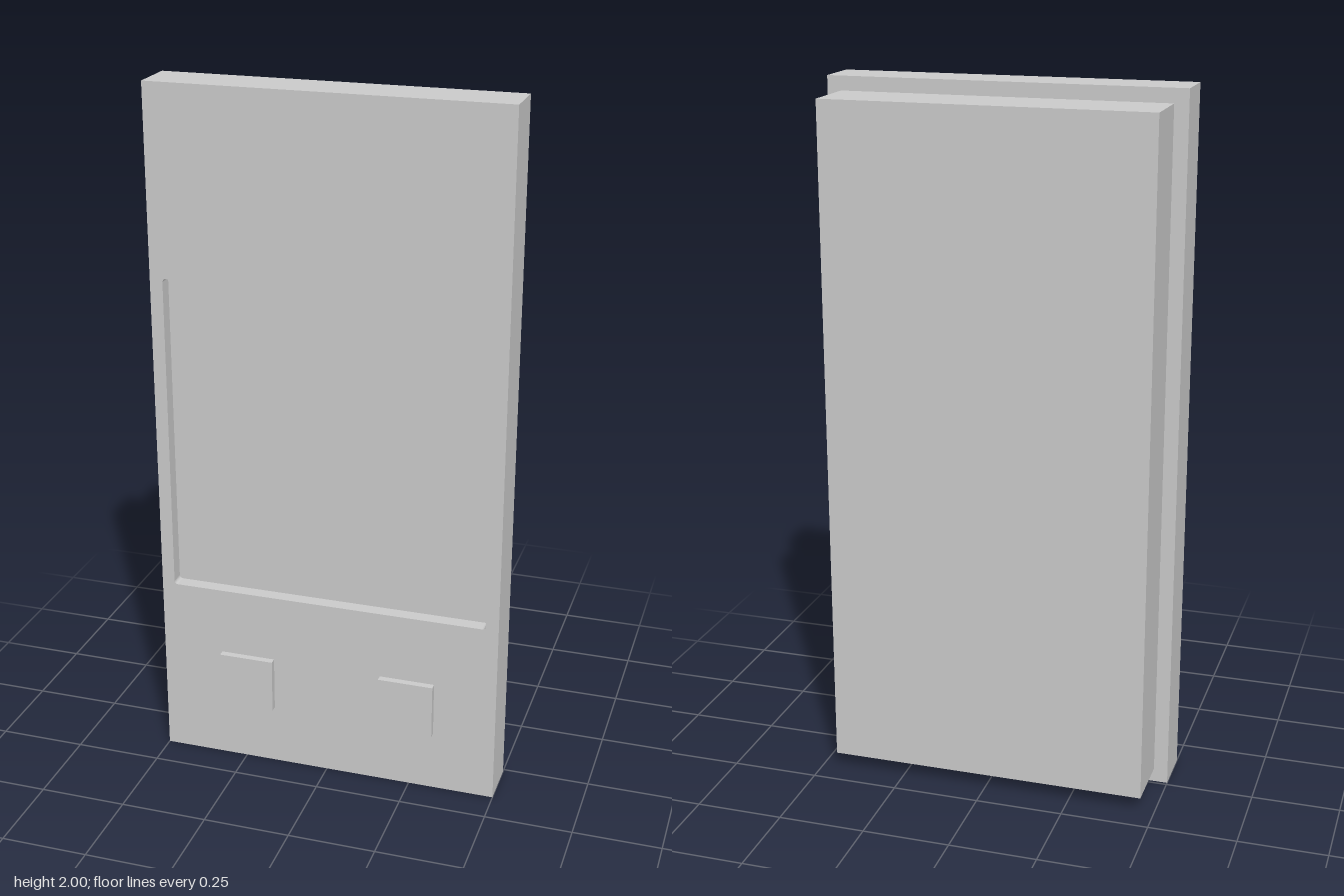
import * as THREE from 'three';

const grey = new THREE.MeshStandardMaterial({ color: 0xcccccc, flatShading: true });

// Path of a rectangle with slightly rounded corners
function roundedRect(path, x0, y0, x1, y1, r) {
  path.absarc(x1 - r, y1 - r, r, 0, Math.PI / 2);
  path.absarc(x0 + r, y1 - r, r, Math.PI / 2, Math.PI);
  path.absarc(x0 + r, y0 + r, r, Math.PI, Math.PI * 1.5);
  path.absarc(x1 - r, y0 + r, r, Math.PI * 1.5, Math.PI * 2);
  path.closePath();
  return path;
}

export function createModel() {
  const model = new THREE.Group();
  model.name = 'wallPanel';

  const add = (name, geometry, x, y, z) => {
    const mesh = new THREE.Mesh(geometry, grey);
    mesh.name = name;
    mesh.position.set(x, y, z);
    model.add(mesh);
  };
  const addBox = (name, w, h, x, y, z0, z1) =>
    add(name, new THREE.BoxGeometry(w, h, z1 - z0), x, y, (z0 + z1) / 2);

  const front = 0.15, recess = 0.04;

  // Rear housing and the panel that forms the floor of the screen recess
  addBox('rearHousing', 0.92, 1.92, 0, 1, -0.17, 0.01);
  addBox('screenPanel', 1, 2, 0, 1, 0.01, front - recess);

  // Front bezel with the screen opening
  const outline = new THREE.Shape([
    new THREE.Vector2(-0.5, 0), new THREE.Vector2(0.5, 0),
    new THREE.Vector2(0.5, 2), new THREE.Vector2(-0.5, 2),
  ]);
  outline.holes.push(roundedRect(new THREE.Path(), -0.463, 0.54, 0.463, 1.466, 0.01));
  add('frontBezel', new THREE.ExtrudeGeometry(outline, {
    depth: recess, bevelEnabled: false, curveSegments: 4,
  }), 0, 0, front - recess);

  // Two square buttons below the screen
  for (const [name, x] of [['leftButton', 0.24], ['rightButton', -0.24]]) {
    addBox(name, 0.16, 0.16, x, 0.26, front, front + 0.02);
  }

  return model;
}
